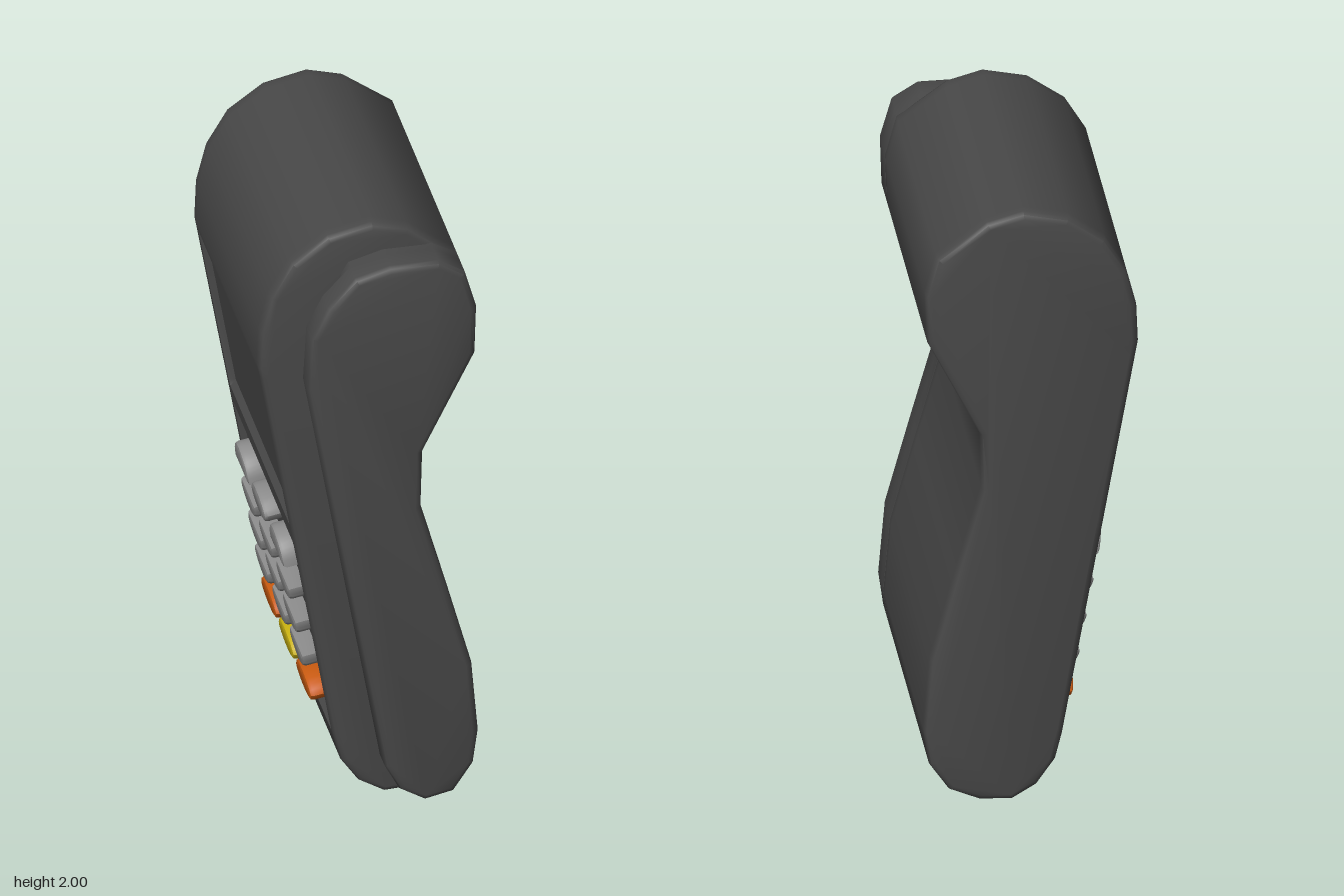
import * as THREE from 'three';
import { toCreasedNormals } from 'three/addons/utils/BufferGeometryUtils.js';

const TILT = 0.172;
const MID_Z = -0.057; // middle of the main body's width
// x of the sloping keypad face at height y
const faceX = (y) => -0.325 + (1.535 - y) * 0.1737;
const mat = (color) => new THREE.MeshStandardMaterial({ color });

// Moves each corner of a clockwise outline inwards by d
function inset(pts, d) {
  const n = pts.length;
  return pts.map(([x, y], i) => {
    const p = pts[(i + n - 1) % n], q = pts[(i + 1) % n];
    const tx = q[0] - p[0], ty = q[1] - p[1], l = Math.hypot(tx, ty);
    return [x + (ty / l) * d, y - (tx / l) * d];
  });
}

// Skins clockwise outlines of equal length, given as [z, points] with rising z
function loft(sections) {
  const pos = [];
  const put = (s, j) => pos.push(...s[1][j], s[0]);
  const n = sections[0][1].length;
  for (let i = 0; i + 1 < sections.length; i++) {
    const a = sections[i], b = sections[i + 1];
    for (let j = 0; j < n; j++) {
      const k = (j + 1) % n;
      put(a, j); put(b, j); put(a, k);
      put(a, k); put(b, j); put(b, k);
    }
  }
  const cap = (s, front) => {
    const v = s[1].map(([x, y]) => new THREE.Vector2(x, y));
    for (const [a, b, c] of THREE.ShapeUtils.triangulateShape(v, [])) {
      const ccw = THREE.ShapeUtils.area([v[a], v[b], v[c]]) > 0;
      (ccw === front ? [a, b, c] : [a, c, b]).forEach((j) => put(s, j));
    }
  };
  cap(sections[0], false);
  cap(sections[sections.length - 1], true);
  const g = new THREE.BufferGeometry();
  g.setAttribute('position', new THREE.Float32BufferAttribute(pos, 3));
  return toCreasedNormals(g, 0.8);
}

// Grip side of the outline, shared by body and side rail
const grip = [
  [0.28, 1.86], [0.315, 1.735], [0.31, 1.575], [0.15, 1.25], [0.145, 1.06],
  [0.225, 0.77], [0.3, 0.49], [0.32, 0.25], [0.305, 0.14], [0.245, 0.05],
];

// Main body with screen and keypad recesses sunk into its sloping face
function bodyGeometry() {
  const outline = (depth) => {
    // heights on the face; 1 marks a point at the bottom of a recess
    const face = [
      [0.215, 0], [0.235, 1], [0.875, 1], [0.885, 0],
      [0.95, 0], [0.97, 1], [1.49, 1], [1.5, 0],
    ].map(([y, r]) => [faceX(y) + r * depth, y]);
    return [
      [0.02, 2], [0.13, 1.97], ...grip,
      [0.155, 0.01], [0.055, 0.005], [-0.02, 0.05], [-0.075, 0.13],
      ...face,
      [-0.325, 1.535], [-0.32, 1.66], [-0.29, 1.78], [-0.225, 1.89], [-0.115, 1.97],
    ];
  };
  const full = outline(0), sunk = outline(0.02);
  return loft([
    [-0.52, inset(full, 0.02)], [-0.514, inset(full, 0.006)], [-0.5, full],
    [-0.47, full], [-0.46, sunk], [0.345, sunk], [0.355, full],
    [0.385, full], [0.399, inset(full, 0.006)], [0.405, inset(full, 0.02)],
  ]);
}

// Side rail, joined to the body by a narrower core that leaves the card slot
function railGeometry() {
  const rail = [
    [0.05, 1.91], [0.2, 1.91], ...grip,
    [0.155, 0.03], [0.08, 0.075], [0.035, 0.16],
    [-0.2, 1.51], [-0.19, 1.69], [-0.14, 1.79], [-0.055, 1.88],
  ];
  const core = (floor) => rail.map(([x, y]) =>
    [Math.max(x, floor + Math.max(0, 1.51 - y) * 0.1737), y]);
  return loft([
    [0.39, core(-0.095)], [0.434, core(-0.11)], [0.435, rail],
    [0.5, rail], [0.514, inset(rail, 0.006)], [0.52, inset(rail, 0.02)],
  ]);
}

// Key outlines: full ellipse, or half ellipse with a flat top or flat base
function keyShape(kind, w, h) {
  const s = new THREE.Shape();
  const a = w / 2, b = h / 2;
  if (kind === 'oval') s.absellipse(0, 0, a, b, 0, Math.PI * 2);
  else if (kind === 'flatTop') s.absellipse(0, b * 0.6, a, b * 1.6, Math.PI, Math.PI * 2);
  else s.absellipse(0, -b * 0.6, a, b * 1.6, 0, Math.PI);
  s.closePath();
  return s;
}

function makeKey(kind, w, h, material) {
  const bevel = 0.012;
  const g = new THREE.ExtrudeGeometry(keyShape(kind, w - bevel * 2, h - bevel * 2), {
    depth: 0.045, bevelSize: bevel, bevelThickness: bevel, bevelSegments: 2, curveSegments: 10,
  });
  g.translate(0, 0, -0.022);
  return new THREE.Mesh(toCreasedNormals(g, 0.7), material);
}

export function createModel() {
  const model = new THREE.Group();
  model.name = 'cardTerminal';
  const dark = mat(0x484848), grey = mat(0x8c8c8c);
  const orange = mat(0xc85a10), yellow = mat(0xc8b010);

  const add = (name, geometry) => {
    const mesh = new THREE.Mesh(geometry, dark);
    mesh.name = name;
    model.add(mesh);
  };
  add('body', bodyGeometry());
  add('cardSlotRail', railGeometry());

  // Keypad: five rows of three keys on the sloping face
  const keypad = new THREE.Group();
  keypad.name = 'keypad';
  [0.79, 0.65, 0.53, 0.41, 0.3].forEach((y, row) => {
    for (let col = -1; col <= 1; col++) {
      let key;
      if (row === 0) key = makeKey(col ? 'flatBase' : 'oval', 0.18, col ? 0.105 : 0.09, grey);
      else if (row < 4) key = makeKey('flatTop', 0.18, 0.08, grey);
      else key = makeKey('oval', 0.2, 0.085, col ? orange : yellow);
      key.name = `keyRow${row + 1}Column${col + 2}`;
      key.position.set(faceX(y), y, MID_Z + col * 0.24);
      key.rotation.set(TILT, -Math.PI / 2, 0, 'YXZ');
      keypad.add(key);
    }
  });
  model.add(keypad);
  return model;
}
